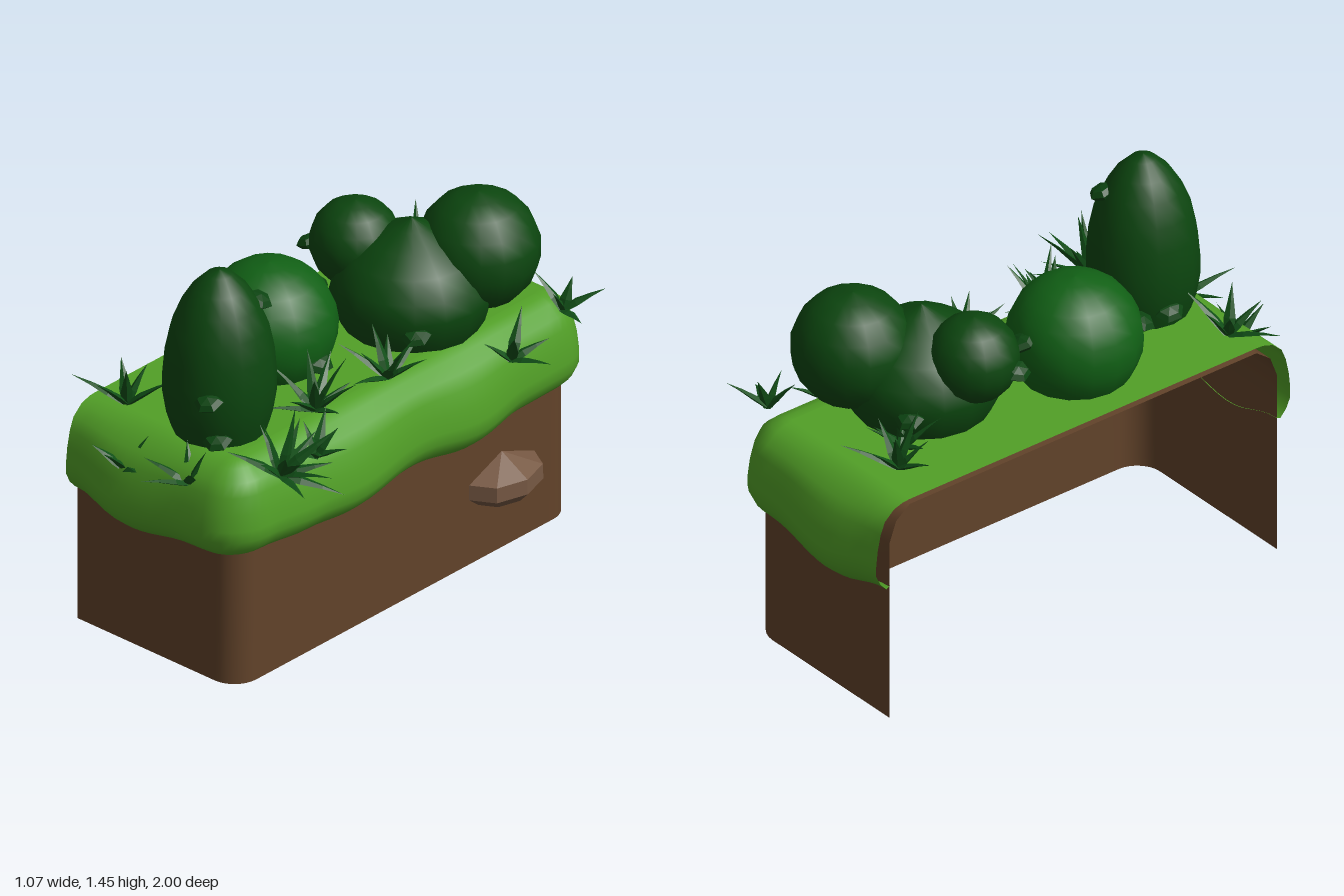
import * as THREE from 'three';

const mat = (color, extra = {}) => new THREE.MeshStandardMaterial({ color, ...extra });
const UP = new THREE.Vector3(0, 1, 0);
const X0 = -0.47, X1 = 0.262, Z0 = -0.905, Z1 = 0.788, R = 0.1;

// Droop of the turf edge: [running length, amount]
const DROOP = [[0, 0], [0.27, 1.15], [0.6, 0.25], [0.8, 0.1], [1, 0.15], [1.265, 0.9], [1.55, 0.1], [1.885, 0.9],
  [2.1, 0.55], [2.35, 0.1], [2.6, 0.4], [2.885, 1.15], [3.155, 0]];
function droop(s) {
  const k = Math.max(1, DROOP.findIndex(d => d[0] >= s - 1e-6));
  const [s0, w0] = DROOP[k - 1], [s1, w1] = DROOP[k];
  return w0 + (w1 - w0) * (0.5 - 0.5 * Math.cos((s - s0) / (s1 - s0) * Math.PI));
}

// U-shaped ground outline (open on the -x side): points with outward normal and running length
function outline() {
  const pts = [];
  const line = (x0, z0, x1, z1, nx, nz, n) => {
    for (let i = 0; i <= n; i++) pts.push({ x: x0 + (x1 - x0) * i / n, z: z0 + (z1 - z0) * i / n, nx, nz });
  };
  const corner = (cx, cz, a0) => {
    for (let i = 1; i < 7; i++) {
      const a = a0 + i / 7 * Math.PI / 2, nx = Math.cos(a), nz = Math.sin(a);
      pts.push({ x: cx + R * nx, z: cz + R * nz, nx, nz });
    }
  };
  line(X0, Z0, X1 - R, Z0, 0, -1, 14);
  corner(X1 - R, Z0 + R, -Math.PI / 2);
  line(X1, Z0 + R, X1, Z1 - R, 1, 0, 32);
  corner(X1 - R, Z1 - R, 0);
  line(X1 - R, Z1, X0, Z1, 0, 1, 14);
  let s = 0;
  pts.forEach((p, i) => {
    if (i) s += Math.hypot(p.x - pts[i - 1].x, p.z - pts[i - 1].z);
    p.s = s;
  });
  return pts;
}

// Sweep an [outset, height] profile along the outline and close the top onto a centre line
function sweep(profile, wave) {
  const path = outline(), total = path[path.length - 1].s, rows = profile.length + 1;
  const pos = [], idx = [];
  path.forEach((p, i) => {
    const w = wave * droop(p.s / total * 3.155);
    profile.forEach(([out, y], j) => {
      const low = Math.max(0, 1 - j / (rows - 3));
      const o = out > 0 ? out * (0.65 + 0.32 * w) : out;
      pos.push(p.x + p.nx * o, y - 0.055 * w * low, p.z + p.nz * o);
    });
    const [o, y] = profile[rows - 2];
    pos.push(p.x + p.nx * o, y, -0.06);
    if (!i) return;
    for (let j = 0; j < rows - 1; j++) {
      const a = (i - 1) * rows + j, b = a + rows;
      idx.push(a, a + 1, b, b, a + 1, b + 1);
    }
  });
  const g = new THREE.BufferGeometry();
  g.setAttribute('position', new THREE.Float32BufferAttribute(pos, 3));
  g.setIndex(idx);
  g.computeVertexNormals();
  return g;
}

export function createModel() {
  const model = new THREE.Group();
  const bushMat = mat(0x0c460f), brightBushMat = mat(0x116015);
  const leafMat = mat(0x0c4411, { flatShading: true });
  const bladeMat = mat(0x114f17, { flatShading: true, side: THREE.DoubleSide });
  const add = (name, geo, material, parent = model) => {
    const m = new THREE.Mesh(geo, material);
    m.name = name;
    parent.add(m);
    return m;
  };

  // Earth walls and overhanging turf
  add('earthWalls', sweep([[0, 0], [0, 0.3], [0, 0.6], [0, 0.7], [-0.03, 0.78], [-0.09, 0.825]], 0),
    mat(0x62432a, { side: THREE.DoubleSide }));
  add('turf', sweep([[-0.003, 0.53], [0.02, 0.522], [0.06, 0.55], [0.088, 0.59], [0.088, 0.63], [0.078, 0.69],
    [0.058, 0.75], [0.03, 0.795], [-0.02, 0.83], [-0.06, 0.843], [-0.09, 0.845]], 1),
    mat(0x52a027, { side: THREE.DoubleSide }));

  // Rock in the right-hand wall: a faceted ball with an upright band round its middle
  const rock = add('rock', new THREE.SphereGeometry(1, 8, 4), mat(0x765843, { flatShading: true }));
  const rp = rock.geometry.attributes.position;
  for (let i = 0; i < rp.count; i++) {
    const y = rp.getY(i);
    if (Math.abs(y) < 0.1) rp.setY(i, -0.3);
    else if (y > 0 && y < 0.9) rp.setXYZ(i, rp.getX(i) * 1.4, 0.3, rp.getZ(i) * 1.4);
  }
  rock.scale.set(0.12, 0.095, 0.165);
  rock.position.set(0.262, 0.28, -0.545);

  // Bushes: lathed [radius, height] profiles with small leaves at [azimuth, height]
  const bush = (name, x, z, profile, material, leaves = []) => {
    const g = new THREE.Group();
    g.name = name;
    g.position.set(x, 0, z);
    model.add(g);
    add('foliage', new THREE.LatheGeometry(profile.map(p => new THREE.Vector2(...p)), 16), material, g);
    for (const [az, y] of leaves) {
      const k = Math.max(1, profile.findIndex(p => p[1] > y));
      const [r0, y0] = profile[k - 1], [r1, y1] = profile[k];
      const r = r0 + (r1 - r0) * (y - y0) / (y1 - y0);
      const leaf = add('leaf', new THREE.SphereGeometry(1, 6, 4), leafMat, g);
      leaf.scale.set(0.052, 0.024, 0.05);
      leaf.position.set(Math.sin(az) * r, y, Math.cos(az) * r);
      leaf.rotation.set(0.35, az, 0.15, 'YXZ');
    }
  };
  const ball = (r, cy) => {
    const p = [], a0 = Math.asin(Math.max(-1, (0.83 - cy) / r));
    for (let i = 0; i <= 9; i++) {
      const a = a0 + (Math.PI / 2 - a0) * i / 9;
      p.push([Math.max(0, Math.cos(a) * r), cy + Math.sin(a) * r]);
    }
    return p;
  };
  bush('tallBush', -0.01, 0.575, [[0.16, 0.83], [0.182, 0.9], [0.195, 0.98], [0.195, 1.06], [0.187, 1.15],
    [0.168, 1.24], [0.135, 1.32], [0.095, 1.385], [0.045, 1.435], [0, 1.45]], bushMat,
    [[0.55, 1.04], [-1.75, 0.92], [2.6, 1.31], [0.7, 0.88], [3.1, 1.0]]);
  bush('roundBush', -0.19, 0.13, ball(0.238, 0.985), brightBushMat,
    [[3.14, 1.05], [-0.4, 1.0], [1.6, 0.91], [0.5, 0.95]]);
  bush('wideBush', -0.02, -0.4, [[0.23, 0.83], [0.265, 0.89], [0.282, 0.97], [0.265, 1.04], [0.215, 1.11],
    [0.14, 1.165], [0.06, 1.21], [0, 1.24]], bushMat, [[0.8, 0.93], [-2.4, 0.95]]);
  bush('smallTopBush', -0.22, -0.335, ball(0.16, 1.1), bushMat, [[-1.05, 1.08]]);
  bush('largeTopBush', 0.105, -0.6, ball(0.216, 1.09), bushMat);

  // Grass tufts: [x, y, z, blades, length, normal]
  const tufts = [
    [-0.29, 0.84, -0.72, 8, 0.22, [0, 1, 0]],
    [-0.2, 0.84, -0.62, 7, 0.18, [0, 1, 0]],
    [0.19, 0.84, -0.05, 10, 0.22, [0, 1, 0]],
    [0.16, 0.84, 0.28, 11, 0.24, [0, 1, 0]],
    [-0.34, 0.84, 0.68, 6, 0.22, [-0.1, 1, 0]],
    [-0.21, 0.7, 0.83, 5, 0.16, [0, 1, 0.3]],
    [0.07, 0.74, 0.81, 6, 0.21, [0, 1, 0.1]],
    [0.3, 0.78, 0.61, 14, 0.26, [0.6, 1, 0]],
    [0.29, 0.77, 0.42, 6, 0.18, [0.3, 1, 0]],
    [0.31, 0.75, -0.54, 6, 0.21, [0.2, 1, 0]],
    [0.3, 0.83, -0.81, 5, 0.17, [0.3, 1, 0]],
  ];
  tufts.forEach(([x, y, z, n, len, normal], t) => {
    const g = new THREE.Group();
    g.name = 'grassTuft';
    g.position.set(x, y, z);
    g.quaternion.setFromUnitVectors(UP, new THREE.Vector3(...normal).normalize());
    for (let i = 0; i < n; i++) {
      const l = len * (0.85 + 0.15 * Math.cos(i * 2.3 + t));
      const geo = new THREE.CylinderGeometry(0, 0.027, l, 4, 3);
      const p = geo.attributes.position;
      // Narrow foot and a gentle outward bend
      for (let k = 0; k < p.count; k++) {
        const h = p.getY(k) / l + 0.5, w = h < 0.1 ? 0.6 : 1.15;
        p.setXYZ(k, p.getX(k) * w, h * l, p.getZ(k) * w * 0.5 + 0.12 * l * h * h);
      }
      geo.computeVertexNormals();
      const blade = add('blade', geo, bladeMat, g);
      blade.rotation.set(0.3 + 0.9 * ((i * 0.618 + t * 0.3) % 1), i / n * Math.PI * 2 + t, 0, 'YXZ');
    }
    model.add(g);
  });
  return model;
}
